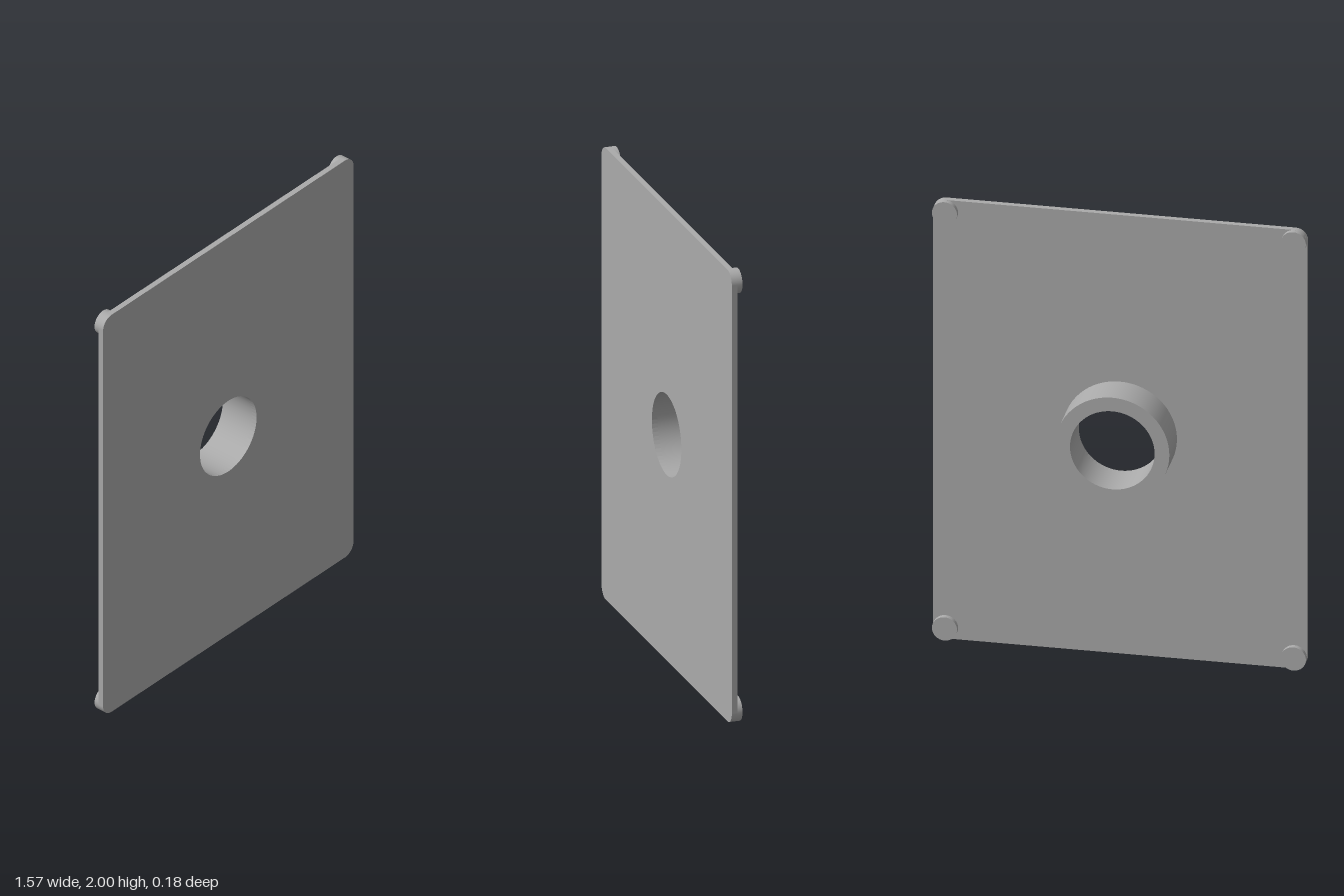
import * as THREE from 'three';

const W = 0.787, H = 2, R = 0.053;      // half width, height, corner radius
const FRONT = 0.092, PLATE_BACK = 0.067, FOOT_BACK = 0.045, RING_BACK = -0.092;
const HOLE = 0.178, RING = 0.24, CY = 1;

export function createModel() {
  const group = new THREE.Group();
  const grey = new THREE.MeshStandardMaterial({ color: 0xaaaaaa });
  grey.name = 'grey';

  const add = (name, geometry) => {
    const mesh = new THREE.Mesh(geometry, grey);
    mesh.name = name;
    group.add(mesh);
    return mesh;
  };

  const circle = (r, y = 0) => new THREE.Path().absarc(0, y, r, 0, Math.PI * 2, true);
  const extrude = (shape, back, front) => new THREE.ExtrudeGeometry(shape, {
    depth: front - back, bevelEnabled: false, curveSegments: 32,
  }).translate(0, 0, back);

  // Rounded rectangular plate with a central hole
  const plate = new THREE.Shape();
  plate.absarc(W - R, R, R, -Math.PI / 2, 0);
  plate.absarc(W - R, H - R, R, 0, Math.PI / 2);
  plate.absarc(-W + R, H - R, R, Math.PI / 2, Math.PI);
  plate.absarc(-W + R, R, R, Math.PI, Math.PI * 1.5);
  plate.holes.push(circle(HOLE, CY));
  add('plate', extrude(plate, PLATE_BACK, FRONT));

  // Collar behind the hole, turned so its walls stay smooth
  const profile = [
    [HOLE, PLATE_BACK], [HOLE, RING_BACK], [HOLE, RING_BACK],
    [RING, RING_BACK], [RING, RING_BACK], [RING, PLATE_BACK],
  ].map(([r, z]) => new THREE.Vector2(r, z));
  const collar = add('collar', new THREE.LatheGeometry(profile, 64).rotateX(Math.PI / 2));
  collar.position.y = CY;

  // Round feet on the back of each corner
  for (const x of [-1, 1]) {
    for (const y of [R, H - R]) {
      const depth = PLATE_BACK - FOOT_BACK;
      const foot = add(`${y > 1 ? 'upper' : 'lower'}${x > 0 ? 'Left' : 'Right'}Foot`,
        new THREE.CylinderGeometry(R, R, depth, 32).rotateX(Math.PI / 2));
      foot.position.set(x * (W - R), y, FOOT_BACK + depth / 2);
    }
  }
  return group;
}
